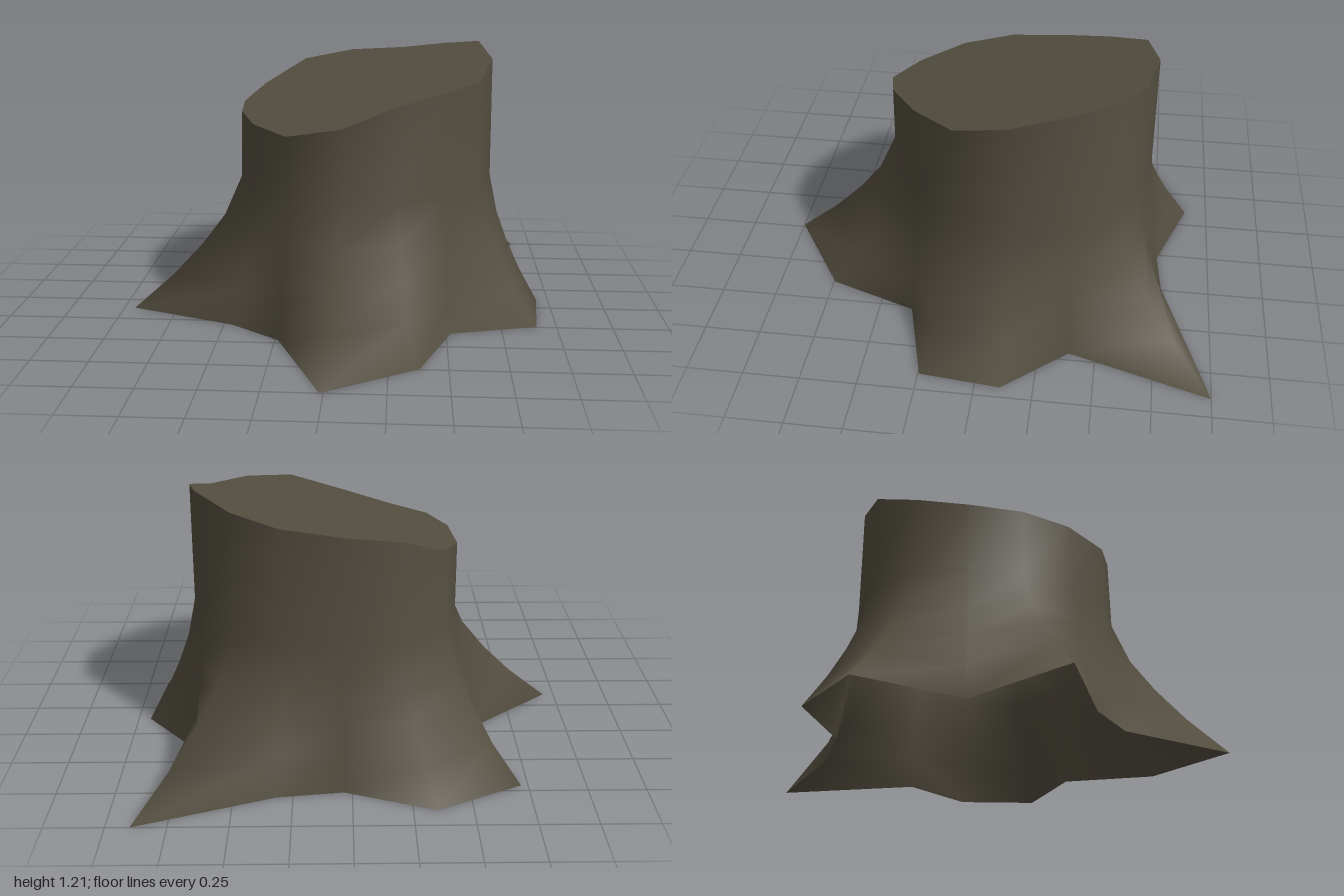
import * as THREE from 'three';

// Cut rim: x, height, z
const RIM = [
  [0.035, 1.12, -0.69], [0.29, 1.14, -0.64], [0.49, 1.175, -0.54], [0.65, 1.21, -0.36], [0.7, 1.16, -0.11],
  [0.63, 1.09, 0.12], [0.48, 1.07, 0.3], [0.28, 1.035, 0.43], [0.04, 0.945, 0.485], [-0.2, 0.895, 0.405],
  [-0.36, 0.91, 0.22], [-0.44, 0.925, 0], [-0.46, 0.93, -0.24], [-0.385, 0.98, -0.465], [-0.2, 1.08, -0.635],
];
// Root outline on the ground: x, z (one point under each rim point)
const ROOTS = [
  [0.035, -0.755], [0.32, -0.79], [0.9, -1], [0.71, -0.385], [0.945, -0.11],
  [0.91, 0.245], [0.52, 0.35], [0.38, 0.745], [-0.015, 1], [-0.235, 0.47],
  [-0.46, 0.3], [-0.95, 0.11], [-0.525, -0.245], [-0.72, -0.71], [-0.35, -0.895],
];
// Flare rows: height, share of root outline
const ROWS = [[0, 1], [0.16, 0.64], [0.3, 0.38], [0.44, 0.17], [0.62, 0.015]];

function meshGeometry(points, index) {
  const g = new THREE.BufferGeometry();
  g.setAttribute('position', new THREE.Float32BufferAttribute(points.flat(), 3));
  g.setIndex(index);
  g.computeVertexNormals();
  return g;
}

export function createModel() {
  const stump = new THREE.Group();
  stump.name = 'treeStump';
  const wood = new THREE.MeshStandardMaterial({ color: 0x554f41, side: THREE.DoubleSide });
  wood.name = 'dark wood';
  const n = RIM.length;

  // Bark: loops blending from the roots up to the rim, open underneath
  const points = [];
  for (const [y, f] of ROWS) {
    RIM.forEach(([x, , z], i) => points.push([
      THREE.MathUtils.lerp(x, ROOTS[i][0], f), y, THREE.MathUtils.lerp(z, ROOTS[i][1], f),
    ]));
  }
  points.push(...RIM);
  const index = [];
  for (let r = 0; r < ROWS.length; r++) {
    for (let i = 0; i < n; i++) {
      const a = r * n + i, b = r * n + (i + 1) % n;
      index.push(a, a + n, b, b, a + n, b + n);
    }
  }
  const bark = new THREE.Mesh(meshGeometry(points, index), wood);
  bark.name = 'barkAndRoots';

  // Slanted cut face: a fan around the rim's middle
  const middle = [0, 1, 2].map((k) => RIM.reduce((sum, p) => sum + p[k], 0) / n);
  const fan = [];
  for (let i = 0; i < n; i++) fan.push(n, (i + 1) % n, i);
  const capGeometry = meshGeometry([...RIM, middle], fan);
  // One shared normal keeps the cut evenly flat
  const normals = capGeometry.attributes.normal;
  const up = new THREE.Vector3().fromBufferAttribute(normals, n);
  for (let i = 0; i < n; i++) normals.setXYZ(i, up.x, up.y, up.z);
  const cap = new THREE.Mesh(capGeometry, wood);
  cap.name = 'cutTop';

  stump.add(bark, cap);
  return stump;
}
